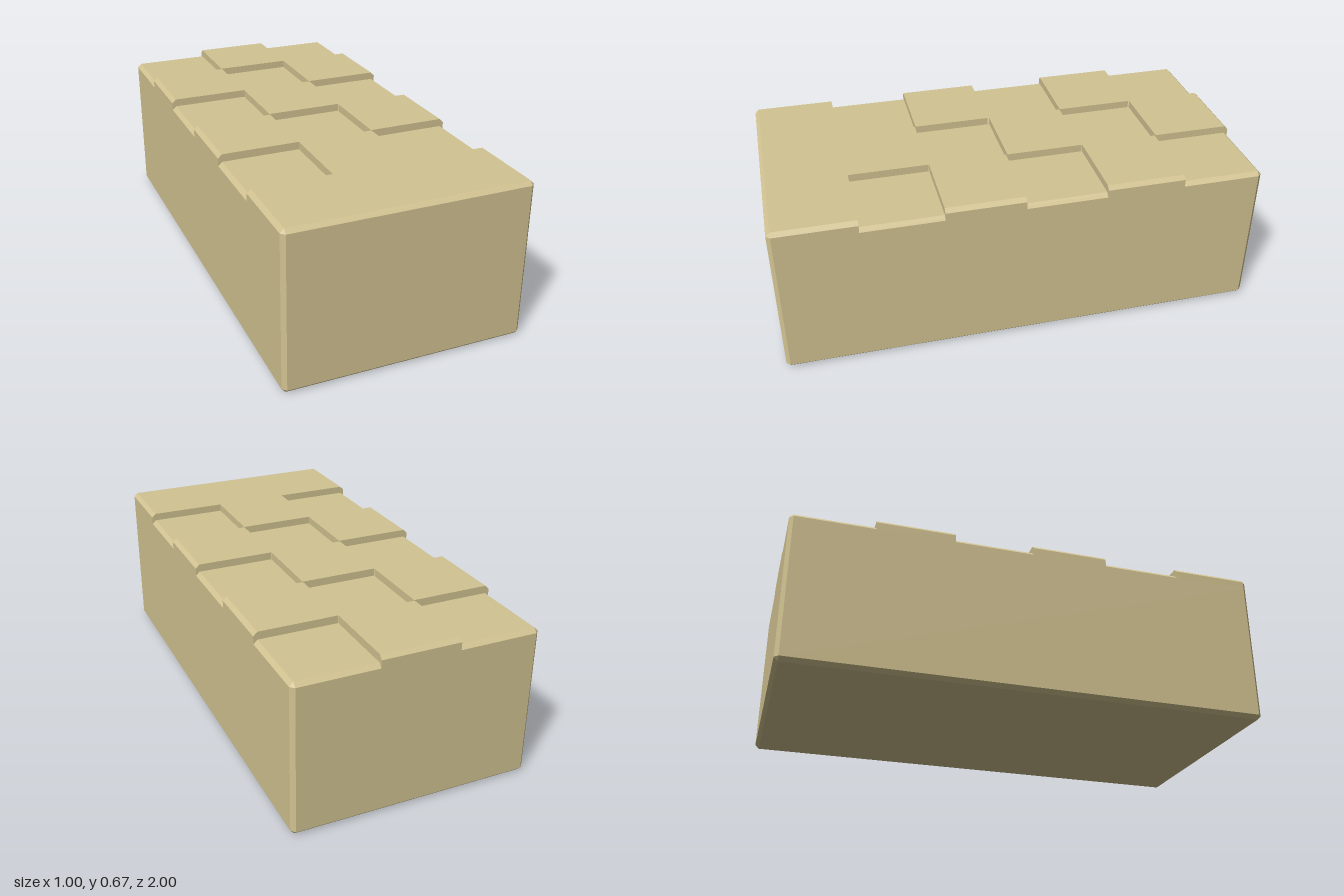
import * as THREE from 'three';

const W = 0.5, D = 1;        // half width and half depth of the block
const C = 0.016;             // bevel on the outer edges
const HIGH = 0.666, LOW = 0.634;

// Block over a rectangle; only edges lying on the outer outline are bevelled.
function bevelledBlock(x0, x1, z0, z1, y0, y1, bevelBottom) {
  const full = [], inset = [];
  [[1, 1], [1, -1], [-1, -1], [-1, 1]].forEach(([sx, sz], i) => {
    const x = sx > 0 ? x1 : x0, z = sz > 0 ? z1 : z0;
    const xi = Math.abs(x) === W ? x - sx * C : x;
    const zi = Math.abs(z) === D ? z - sz * C : z;
    const pair = [[xi, z], [x, zi]];
    full.push(...(i % 2 ? pair.reverse() : pair));
    inset.push([xi, zi], [xi, zi]);
  });
  const rings = [];
  const addRing = (pts, y) => rings.push(pts.map(([x, z]) => new THREE.Vector3(x, y, z)));
  if (bevelBottom) addRing(inset, y0);
  addRing(full, bevelBottom ? y0 + C : y0);
  addRing(full, y1 - C);
  addRing(inset, y1);

  const pos = [];
  const tri = (a, b, c) => {
    if (new THREE.Triangle(a, b, c).getArea() > 1e-9) {
      for (const p of [a, b, c]) pos.push(p.x, p.y, p.z);
    }
  };
  // Side bands
  for (let r = 0; r < rings.length - 1; r++) {
    for (let i = 0; i < 8; i++) {
      const j = (i + 1) % 8, lo = rings[r], up = rings[r + 1];
      tri(lo[i], lo[j], up[j]);
      tri(lo[i], up[j], up[i]);
    }
  }
  // Caps
  const bottom = rings[0], top = rings[rings.length - 1];
  for (let i = 1; i < 7; i++) {
    tri(top[0], top[i], top[i + 1]);
    tri(bottom[0], bottom[i + 1], bottom[i]);
  }
  const geo = new THREE.BufferGeometry();
  geo.setAttribute('position', new THREE.Float32BufferAttribute(pos, 3));
  geo.computeVertexNormals();
  return geo;
}

export function createModel() {
  const group = new THREE.Group();
  const sand = new THREE.MeshStandardMaterial({ color: 0xd2c392, flatShading: true });
  sand.name = 'sand';
  const add = (name, ...box) => {
    const mesh = new THREE.Mesh(bevelledBlock(...box), sand);
    mesh.name = name;
    group.add(mesh);
  };
  const raise = (name, x0, x1, z0, z1) => add(name, x0, x1, z0, z1, LOW - C, HIGH, false);

  // Main block, topped at the level of the sunken squares
  add('body', -W, W, -D, D, 0, LOW, true);

  // Raised strip across the front
  const X = 0.161;
  raise('frontStrip', -W, W, 0.658, D);

  // Raised squares of the centre column; the first joins the front strip
  for (const [z0, z1] of [[0.329, 0.658], [-0.329, -0.005], [-D, -0.663]]) {
    raise('centreSquare', -X, X, z0, z1);
  }

  // Raised squares of the outer columns, in the alternate rows
  for (const [z0, z1] of [[0.002, 0.326], [-0.658, -0.332]]) {
    raise('leftSquare', X, W, z0, z1);
    raise('rightSquare', -W, -X, z0, z1);
  }
  return group;
}
